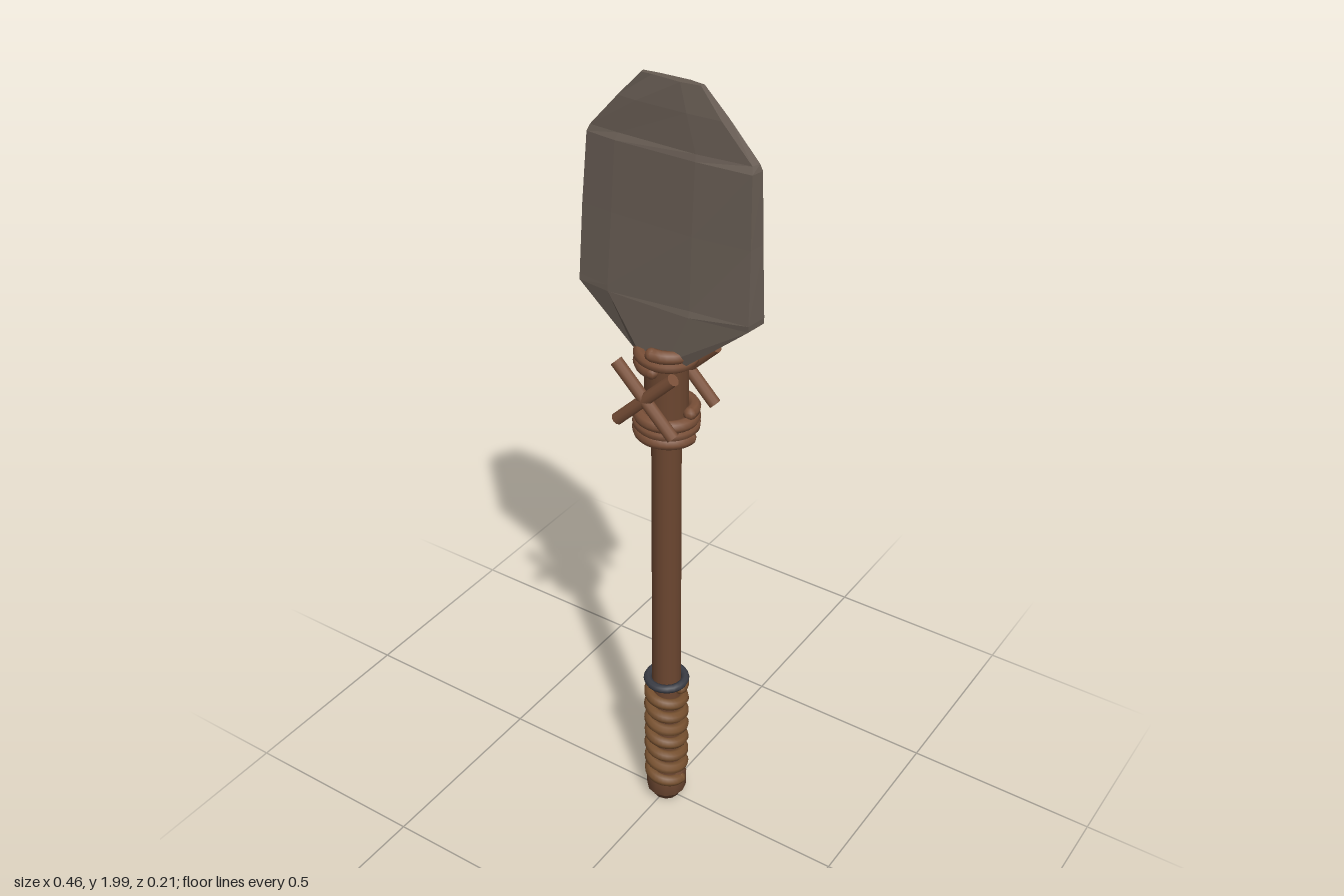
import * as THREE from 'three';

const mat = (name, color, extra = {}) => {
  const m = new THREE.MeshStandardMaterial({ color, ...extra });
  m.name = name;
  return m;
};

export function createModel() {
  const group = new THREE.Group();
  const stone = mat('stone', 0x665b52, { flatShading: true });
  const wood = mat('wood', 0x6b4630);
  const cord = mat('cord', 0x7a5038);
  const wrap = mat('gripWrap', 0x76502f);
  const iron = mat('darkCollar', 0x3a3c44);

  const add = (name, geometry, material, x = 0, y = 0, z = 0) => {
    const mesh = new THREE.Mesh(geometry, material);
    mesh.name = name;
    mesh.position.set(x, y, z);
    group.add(mesh);
    return mesh;
  };

  // Coil of cord rising around the shaft, with closed ends
  const coil = (name, radius, thick, y0, y1, turns, material, start = 0) => {
    const points = [];
    const n = Math.round(turns * 16);
    for (let i = 0; i <= n; i++) {
      const a = start + (i / n) * turns * Math.PI * 2;
      points.push(new THREE.Vector3(radius * Math.cos(a), y0 + (y1 - y0) * i / n, radius * Math.sin(a)));
    }
    const curve = new THREE.CatmullRomCurve3(points);
    add(name, new THREE.TubeGeometry(curve, n * 2, thick, 8), material);
    for (const p of [points[0], points[n]]) {
      add(name + 'End', new THREE.SphereGeometry(thick, 8, 6), material, p.x, p.y, p.z);
    }
  };

  // Shaft, thicker socket under the lashings, and butt cap
  add('shaft', new THREE.CylinderGeometry(0.036, 0.038, 1.2, 16), wood, 0, 0.65, 0);
  add('socket', new THREE.CylinderGeometry(0.052, 0.052, 0.21, 16), wood, 0, 1.275, 0);
  const cap = [[0, 0], [0.036, 0], [0.042, 0.02], [0.052, 0.025], [0.053, 0.075], [0.046, 0.085], [0, 0.085]];
  cap.slice(1, -1);
  add('buttCap', new THREE.LatheGeometry(cap.map(([r, y]) => new THREE.Vector2(r, y)), 12),
    wood, 0, 0.007, 0);

  // Grip wrap and its dark collar
  coil('gripWrap', 0.043, 0.0155, 0.075, 0.39, 7, wrap);
  const collar = add('collar', new THREE.TorusGeometry(0.048, 0.011, 8, 20), iron, 0, 0.408, 0);
  collar.rotation.x = Math.PI / 2;

  // Lashings around the socket
  coil('lowerLashing', 0.064, 0.016, 1.162, 1.228, 3, cord);
  coil('upperLashing', 0.06, 0.016, 1.345, 1.39, 2, cord, Math.PI / 2);

  // Crossed cords, front and back
  for (const z of [0.088, -0.088]) {
    for (const side of [1, -1]) {
      const bar = add('crossCord', new THREE.CylinderGeometry(0.015, 0.015, 0.216, 10), cord, 0, 1.288, z);
      bar.rotation.z = side * Math.PI / 4;
    }
  }

  // Chipped stone blade: rows of [y, half width, back z, edge front z, middle front z, x shift]
  const rows = [
    [1.34, 0.045, -0.04, 0.025, 0.042, 0],
    [1.37, 0.075, -0.042, 0.025, 0.042, 0],
    [1.495, 0.228, -0.041, 0.02, 0.036, 0],
    [1.51, 0.229, -0.04, 0.018, 0.031, 0],
    [1.68, 0.222, -0.039, 0.008, 0.02, -0.001],
    [1.845, 0.214, -0.037, -0.002, 0.008, 0.001],
    [1.86, 0.208, -0.035, -0.007, 0.003, 0.001],
    [1.94, 0.133, -0.036, -0.009, -0.003, 0],
    [2.0, 0.075, -0.032, -0.014, -0.01, 0],
  ];
  const pos = [];
  const index = [];
  const count = 8;
  rows.forEach(([y, w, zb, ze, zf, dx], r) => {
    const chip = 0.002 * (r % 2 ? 1 : -1);
    const ring = [
      [-w, zb + 0.006], [-w * 0.97, ze], [-w * 0.6, zf - 0.003 + chip], [w * 0.35, zf],
      [w * 0.97, ze + chip], [w, zb + 0.006], [w * 0.5, zb], [-w * 0.4, zb - chip],
    ];
    ring.forEach(([x, z]) => pos.push(x + dx, y, z));
    if (r === 0) return;
    for (let i = 0; i < count; i++) {
      const a = (r - 1) * count + i, b = (r - 1) * count + (i + 1) % count;
      index.push(a, b, b + count, a, b + count, a + count);
    }
  });
  const top = (rows.length - 1) * count;
  for (let i = 1; i < count - 1; i++) {
    index.push(0, i + 1, i, top, top + i, top + i + 1);
  }
  const blade = new THREE.BufferGeometry();
  blade.setAttribute('position', new THREE.Float32BufferAttribute(pos, 3));
  blade.setIndex(index);
  const flatBlade = blade.toNonIndexed();
  flatBlade.computeVertexNormals();
  add('blade', flatBlade, stone);

  return group;
}
